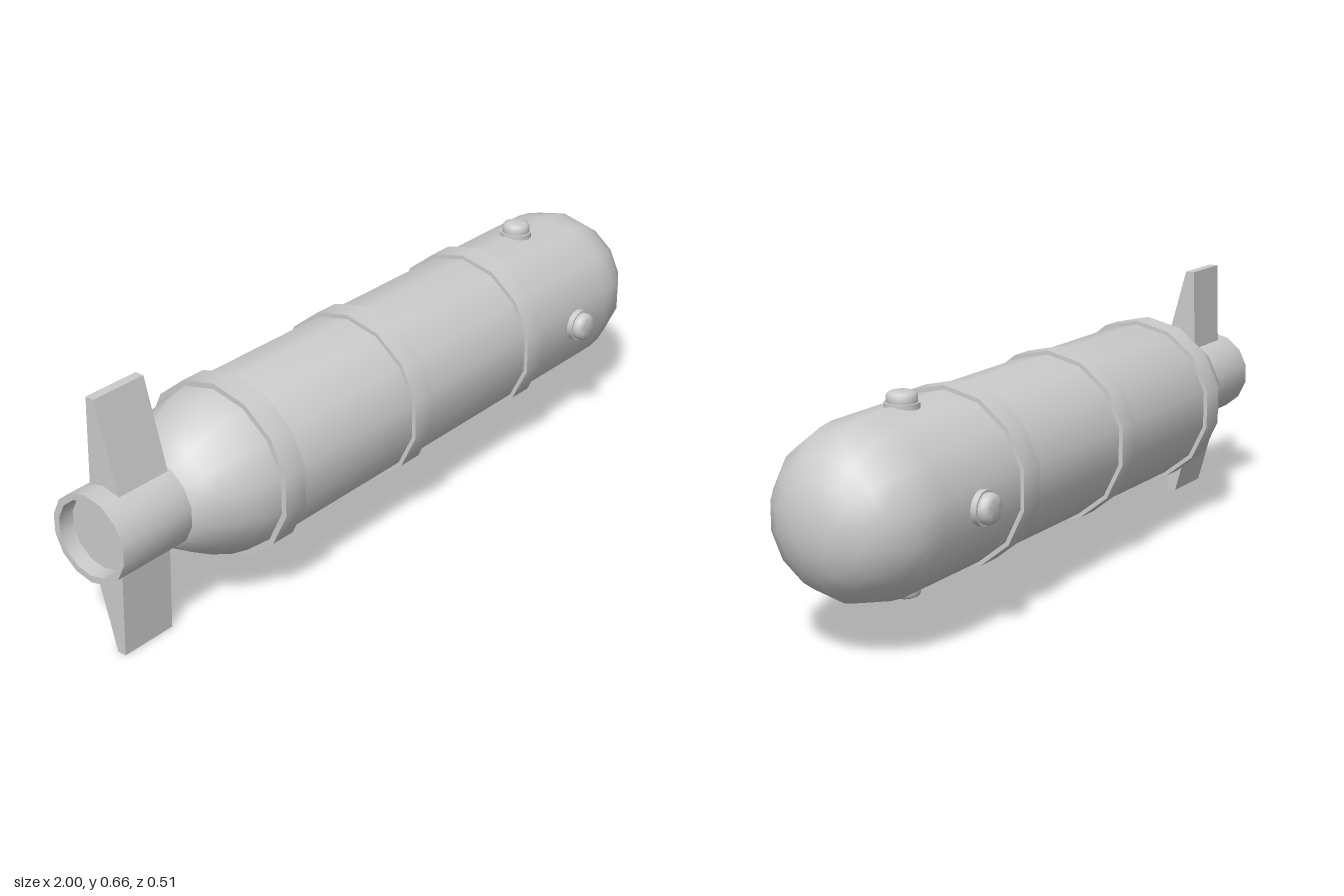
import * as THREE from 'three';
import { toCreasedNormals } from 'three/addons/utils/BufferGeometryUtils.js';

const SIDES = 14;
const material = new THREE.MeshStandardMaterial({ color: 0xcccccc });

// Profile of [radius, position] pairs turned around the y axis
function turned(name, profile, sides = SIDES, crease = 0.6) {
  const points = profile.map(([r, t]) => new THREE.Vector2(r, t));
  const geometry = new THREE.LatheGeometry(points, sides, Math.PI / 2);
  const mesh = new THREE.Mesh(toCreasedNormals(geometry, crease), material);
  mesh.name = name;
  return mesh;
}

export function createModel() {
  const model = new THREE.Group();
  model.name = 'torpedo';
  model.position.y = 0.33;

  // Turned parts lie along x
  const hull = new THREE.Group();
  hull.name = 'hull';
  hull.rotation.z = -Math.PI / 2;
  model.add(hull);

  hull.add(turned('body', [
    [0.1, -0.79], [0.112, -0.785], [0.148, -0.74], [0.177, -0.69], [0.203, -0.63], [0.218, -0.565],
    [0.218, -0.02], [0.218, 0.785], [0.212, 0.83], [0.198, 0.88],
    [0.159, 0.94], [0.114, 0.975], [0.06, 0.995], [0, 1],
  ], SIDES, 0.9));

  // Tail tube with a recessed end
  hull.add(turned('tailTube', [
    [0, -0.96], [0.095, -0.96], [0.097, -1], [0.115, -1], [0.115, -0.77],
  ]));

  // Raised bands
  for (const x of [-0.545, -0.055, 0.43]) {
    hull.add(turned('band', [
      [0.21, x - 0.035], [0.229, x - 0.035], [0.229, x + 0.035], [0.21, x + 0.035],
    ]));
  }

  // Four round studs on collars around the nose
  for (let i = 0; i < 4; i++) {
    const stud = new THREE.Group();
    stud.name = 'stud';
    const lift = i % 2 ? 0.005 : 0;
    stud.add(turned('collar', [[0.043, 0.195], [0.043, 0.223 + lift], [0, 0.223 + lift]], 16));
    stud.add(turned('button', [
      [0.035, 0.21], [0.038, 0.225], [0.038, 0.237], [0.034, 0.245], [0.025, 0.249], [0, 0.249],
    ].map(([r, t]) => [r, t + lift]), 16, 0.9));
    stud.position.x = 0.64;
    stud.rotation.x = i * Math.PI / 2;
    model.add(stud);
  }

  // Tapered fins: section in z and y, extruded along x, opposite each other
  const section = new THREE.Shape([
    [0.05, 0.095], [0.05, 0.104], [0.012, 0.33], [0.037, 0.33], [0.044, 0.104], [0.044, 0.095],
  ].map(([z, y], i) => new THREE.Vector2(i < 2 ? -z : z, y)));
  const finGeometry = new THREE.ExtrudeGeometry(section, { depth: 0.155, bevelEnabled: false });
  finGeometry.rotateY(Math.PI / 2); // section x becomes -z
  finGeometry.translate(-0.945, 0, 0);
  for (const turn of [0, Math.PI]) {
    const fin = new THREE.Mesh(finGeometry, material);
    fin.name = turn ? 'lowerFin' : 'upperFin';
    fin.rotation.x = turn;
    model.add(fin);
  }

  const root = new THREE.Group();
  root.add(model);
  return root;
}
